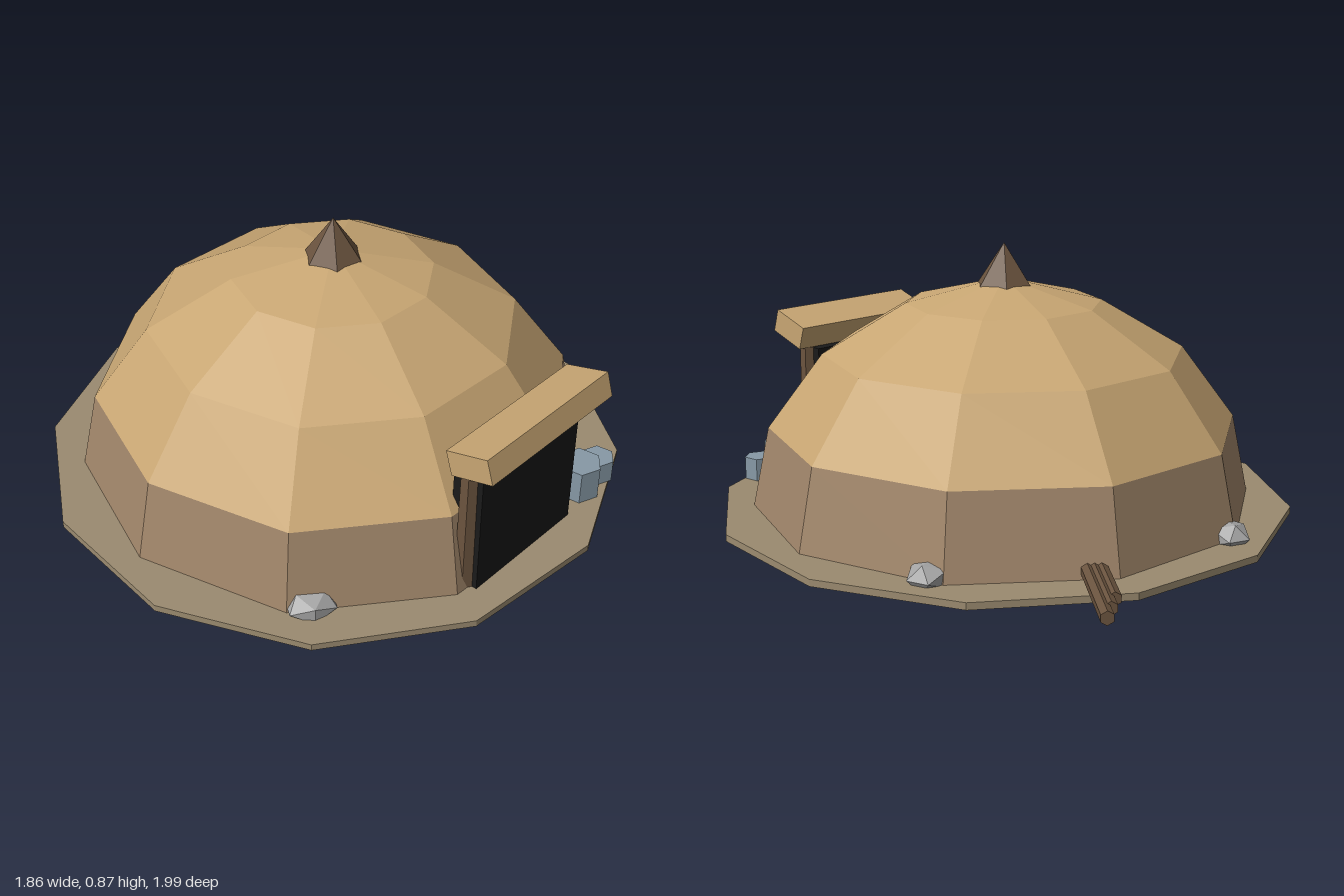
import * as THREE from 'three';

const mat = (color) => new THREE.MeshStandardMaterial({ color, flatShading: true });

export function createModel() {
  const model = new THREE.Group();
  model.name = 'domeHut';
  const thatch = mat(0xc8a673), clay = mat(0xa1866a), earth = mat(0x9b8b70), wood = mat(0x6b543f);
  const black = mat(0x1a1a1a), stone = mat(0xa5a5a5), pottery = mat(0x8799a6);

  const add = (parent, name, geometry, material, x = 0, y = 0, z = 0) => {
    const mesh = new THREE.Mesh(geometry, material);
    mesh.name = name;
    mesh.position.set(x, y, z);
    parent.add(mesh);
    return mesh;
  };

  // Hut body, centred on the ground disc
  const hut = new THREE.Group();
  hut.name = 'hut';
  hut.position.z = 0.065;
  model.add(hut);
  const ring = (points) => new THREE.LatheGeometry(
    points.map(([r, y]) => new THREE.Vector2(r, y)), 10, -0.1);
  add(hut, 'groundDisc', new THREE.CylinderGeometry(0.931, 0.931, 0.022, 12), earth, 0, 0.026, 0);
  add(hut, 'wall', ring([[0.815, 0.035], [0.76, 0.295]]), clay);
  add(hut, 'domeRoof', ring([[0.76, 0.295], [0.583, 0.533], [0.315, 0.693], [0, 0.772]]), thatch);
  add(hut, 'roofTip', new THREE.ConeGeometry(0.093, 0.135, 6, 1, false, 0.2), wood, 0, 0.815, 0);

  // Entrance, turned to face outward between front and left
  const entrance = new THREE.Group();
  entrance.name = 'entrance';
  entrance.rotation.y = 0.88;
  hut.add(entrance);
  add(entrance, 'doorway', new THREE.BoxGeometry(0.45, 0.43, 0.105), black, 0, 0.245, 0.737);
  for (const side of [-1, 1]) {
    add(entrance, 'doorPost', new THREE.CylinderGeometry(0.028, 0.032, 0.45, 6), wood,
      side * 0.225, 0.235, 0.742);
  }
  const lintel = add(entrance, 'lintel', new THREE.CylinderGeometry(0.032, 0.032, 0.5, 6), wood, 0, 0.478, 0.755);
  lintel.rotation.z = Math.PI / 2;
  const awning = add(entrance, 'awning', new THREE.BoxGeometry(0.56, 0.08, 0.15), thatch, 0, 0.522, 0.778);
  awning.rotation.x = -0.3;

  // Water jars beside the door
  add(model, 'largeJar', new THREE.CylinderGeometry(0.068, 0.068, 0.114, 6), pottery, 0.79, 0.092, 0.27);
  add(model, 'smallJar', new THREE.CylinderGeometry(0.053, 0.053, 0.076, 6), pottery, 0.853, 0.074, 0.193);

  // Stones around the foot of the wall
  for (const [x, z, turn] of [[-0.013, 0.845, 0.3], [0.125, -0.705, 1.2], [-0.72, -0.265, 2.1]]) {
    const rock = add(model, 'stone', new THREE.IcosahedronGeometry(0.083, 0), stone, x, 0.05, z);
    rock.rotation.y = turn;
    rock.scale.set(1, 0.6, 0.82);
  }

  // Firewood at the back, each log shorter than the last
  const logs = new THREE.Group();
  logs.name = 'firewood';
  logs.position.set(-0.39, 0.063, -0.995);
  logs.rotation.y = 0.21;
  model.add(logs);
  for (let i = 0; i < 3; i++) {
    const start = i * 0.065;
    const log = add(logs, 'log', new THREE.CylinderGeometry(0.021, 0.021, 0.42 - start, 6), wood,
      -i * 0.021, 0, start + (0.42 - start) / 2);
    log.rotation.x = Math.PI / 2;
  }
  return model;
}
